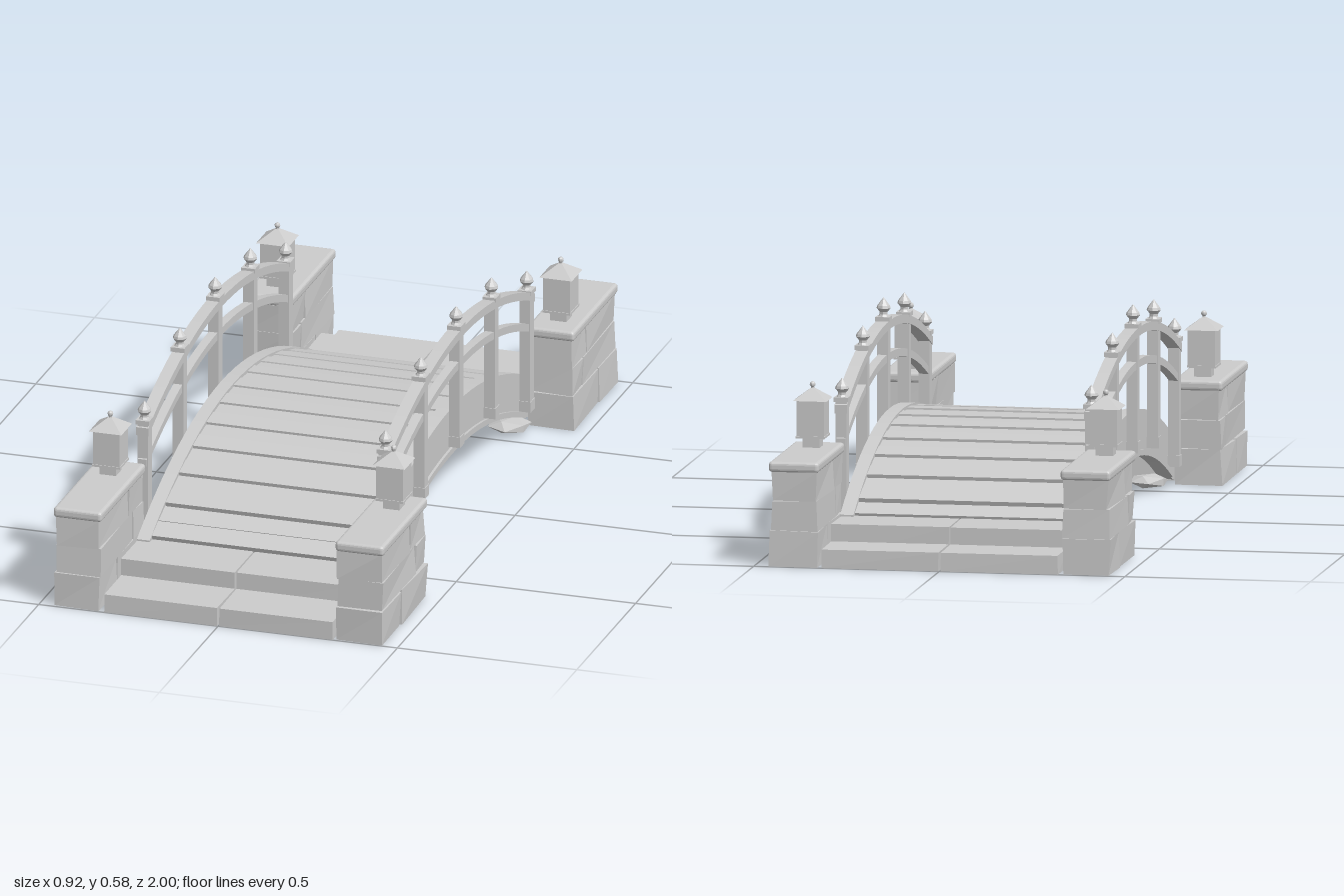
import * as THREE from 'three';
import { RoundedBoxGeometry } from 'three/addons/geometries/RoundedBoxGeometry.js';

const mat = new THREE.MeshStandardMaterial({ color: 0xcccccc, flatShading: true });
const openMat = new THREE.MeshStandardMaterial({ color: 0xcccccc, flatShading: true, side: THREE.DoubleSide });

// Height of the arch crown line along the bridge
const arch = z => 0.28 - 0.35 * z * z;

let seed = 7;
function rand() {
  seed = (seed * 16807) % 2147483647;
  return seed / 2147483647;
}

function add(parent, name, geometry, x = 0, y = 0, z = 0, material = mat) {
  const mesh = new THREE.Mesh(geometry, material);
  mesh.name = name;
  mesh.position.set(x, y, z);
  parent.add(mesh);
  return mesh;
}

// Hewn block: a box with its corners nudged inwards; blocks on the ground have no underside
function stone(parent, name, [x0, x1], [y0, y1], [z0, z1], rough) {
  const g = new THREE.BoxGeometry(x1 - x0, y1 - y0, z1 - z0);
  const nudge = Array.from({ length: 8 }, () => [rand() * rough, rand() * rough * 0.5, rand() * rough]);
  const p = g.attributes.position;
  for (let i = 0; i < p.count; i++) {
    const s = [Math.sign(p.getX(i)), Math.sign(p.getY(i)), Math.sign(p.getZ(i))];
    const n = nudge[(s[0] > 0 ? 1 : 0) + (s[1] > 0 ? 2 : 0) + (s[2] > 0 ? 4 : 0)];
    const dy = y0 === 0 && s[1] < 0 ? 0 : n[1];
    p.setXYZ(i, p.getX(i) - s[0] * n[0], p.getY(i) - s[1] * dy, p.getZ(i) - s[2] * n[2]);
  }
  if (y0 === 0) {
    const idx = Array.from(g.index.array);
    idx.splice(18, 6);
    g.clearGroups();
    g.setIndex(idx);
  }
  g.computeVertexNormals();
  return add(parent, name, g, (x0 + x1) / 2, (y0 + y1) / 2, (z0 + z1) / 2, y0 === 0 ? openMat : mat);
}

// Curved bar following the arch between two height offsets
function archBar(halfLength, top, bottom, width) {
  const n = 24, upper = [], lower = [];
  for (let i = 0; i <= n; i++) {
    const z = halfLength * (2 * i / n - 1);
    upper.unshift(new THREE.Vector2(z, arch(z) + top));
    lower.push(new THREE.Vector2(z, Math.max(0, arch(z) + bottom)));
  }
  const g = new THREE.ExtrudeGeometry(new THREE.Shape([...lower, ...upper]), { depth: width, bevelEnabled: false });
  return g.translate(0, 0, -width / 2).rotateY(-Math.PI / 2);
}

// Railing post with collar and pointed finial
function makePost() {
  const post = new THREE.Group();
  post.name = 'railingPost';
  add(post, 'postShaft', new THREE.BoxGeometry(0.03, 0.34, 0.032), 0, 0.07, 0);
  add(post, 'postFoot', new THREE.BoxGeometry(0.034, 0.03, 0.036), 0, -0.085, 0);
  add(post, 'postCollar', new THREE.BoxGeometry(0.038, 0.012, 0.04), 0, 0.24, 0);
  const profile = [[0.016, 0.244], [0.011, 0.252], [0.011, 0.258], [0.019, 0.268], [0.017, 0.275], [0, 0.297]];
  add(post, 'postFinial', new THREE.LatheGeometry(profile.map(q => new THREE.Vector2(...q)), 8));
  return post;
}

function makeLantern() {
  const lantern = new THREE.Group();
  lantern.name = 'lantern';
  add(lantern, 'lanternFoot', new THREE.BoxGeometry(0.046, 0.03, 0.046), 0, 0.013, 0);
  add(lantern, 'lanternBody', new THREE.BoxGeometry(0.074, 0.102, 0.074), 0, 0.078, 0);
  add(lantern, 'lanternBase', new THREE.BoxGeometry(0.078, 0.006, 0.078), 0, 0.03, 0);
  const roof = new THREE.CylinderGeometry(0.007, 0.064, 0.03, 4).rotateY(Math.PI / 4);
  add(lantern, 'lanternRoof', roof, 0, 0.143, 0);
  add(lantern, 'lanternStem', new THREE.CylinderGeometry(0.004, 0.005, 0.014, 6), 0, 0.16, 0);
  add(lantern, 'lanternKnob', new THREE.SphereGeometry(0.008, 8, 6), 0, 0.168, 0);
  return lantern;
}

// Three courses of blocks under a rounded coping
function makeWall(sx, sz) {
  const wall = new THREE.Group();
  wall.name = 'abutmentWall';
  const range = (s, a, b) => s > 0 ? [a, b] : [-b, -a];
  const courses = [[0, 0.097, 0.84], [0.095, 0.177, 0.71], [0.173, 0.258, 0.75]];
  courses.forEach(([y0, y1, split], i) => {
    const outer = 0.462 - i * 0.003;
    stone(wall, 'wallBlock', range(sx, 0.327, outer), [y0, y1], range(sz, 0.622, split), 0.008);
    stone(wall, 'wallBlock', range(sx, 0.327, outer), [y0, y1], range(sz, split, 0.998), 0.008);
  });
  add(wall, 'wallCoping', new RoundedBoxGeometry(0.135, 0.028, 0.38, 2, 0.009), sx * 0.393, 0.267, sz * 0.81);
  const lantern = makeLantern();
  lantern.position.set(sx * 0.395, 0.28, sz * 0.71);
  wall.add(lantern);
  return wall;
}

export function createModel() {
  const model = new THREE.Group();
  model.name = 'gardenBridge';

  // Side beams, rails and posts
  for (const sx of [1, -1]) {
    add(model, 'sideBeam', archBar(0.715, 0, -0.12, 0.036), sx * 0.302);
    add(model, 'beamTrim', archBar(0.62, -0.108, -0.124, 0.01), sx * 0.322);
    add(model, 'topRail', archBar(0.62, 0.235, 0.212, 0.034), sx * 0.336);
    add(model, 'middleRail', archBar(0.62, 0.145, 0.124, 0.024), sx * 0.336);
    for (const z of [-0.6, -0.3, 0, 0.3, 0.6]) {
      const post = makePost();
      post.position.set(sx * 0.336, arch(z), z);
      model.add(post);
    }
  }

  // Deck planks, alternately a little higher and lower
  const planks = 24, pitch = 1.39 / planks;
  for (let i = 0; i < planks; i++) {
    const z = (i + 0.5 - planks / 2) * pitch;
    const y = arch(z) - 0.017 + (i % 2 ? 0.003 : -0.002);
    const plank = add(model, 'deckPlank', new THREE.BoxGeometry(0.57 + (i % 2) * 0.012, 0.018, pitch * 1.02), 0, y, z);
    plank.rotation.x = Math.atan(0.7 * z) * 0.85;
  }

  for (const sz of [1, -1]) {
    // Two steps, each of two slabs
    const range = (a, b) => sz > 0 ? [a, b] : [-b, -a];
    for (const xs of [[-0.32, -0.001], [0.001, 0.32]]) {
      stone(model, 'lowerStep', xs, [0, 0.051], range(0.848, 1), 0.003);
      stone(model, 'upperStep', xs, [0, 0.097], range(0.69, 0.852), 0.003);
    }
    for (const sx of [1, -1]) model.add(makeWall(sx, sz));

    // Flat rocks at the foot of the arch
    for (const [x, w] of [[-0.31, 0.055], [-0.16, 0.06], [0.0, 0.05], [0.15, 0.055], [0.3, 0.06]]) {
      const g = new THREE.IcosahedronGeometry(1, 0).rotateY(rand() * 6).scale(w, 0.019, 0.06);
      add(model, 'rock', g, sz > 0 ? x * 0.9 : x, 0.022, sz * (0.535 + rand() * 0.03));
    }
  }
  return model;
}
